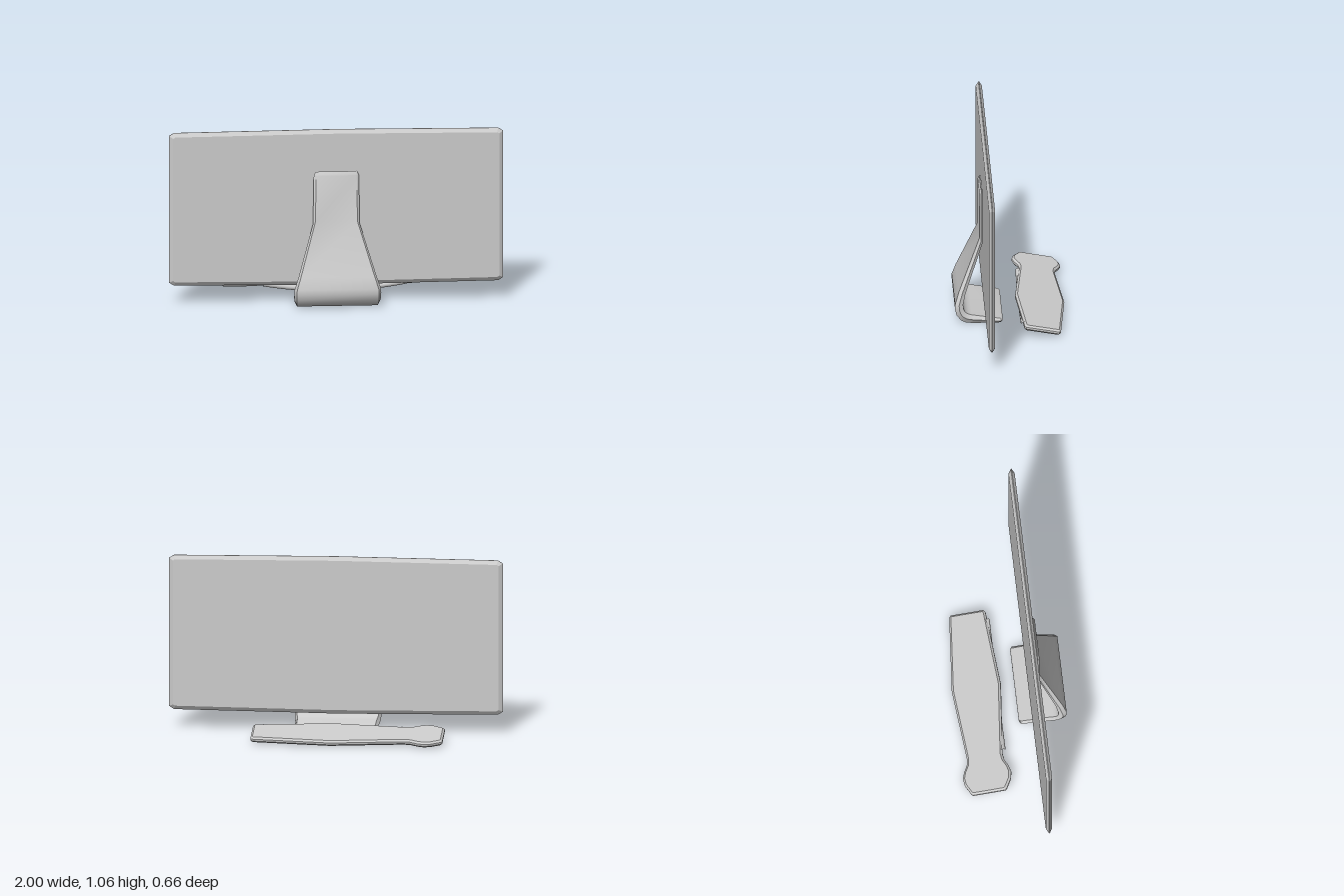
import * as THREE from 'three';
import { toCreasedNormals } from 'three/addons/utils/BufferGeometryUtils.js';

const material = new THREE.MeshStandardMaterial({ color: 0xcccccc });

function part(name, geometry) {
  const mesh = new THREE.Mesh(geometry, material);
  mesh.name = name;
  return mesh;
}

// Flat plate centred on z = 0 whose rim comes to a bevelled edge
function plate(points, thickness, bevel, rim) {
  const shape = new THREE.Shape(points.map(([x, y]) => new THREE.Vector2(x, y)));
  const geometry = new THREE.ExtrudeGeometry(shape, {
    depth: rim, bevelEnabled: true, bevelSegments: 1,
    bevelThickness: (thickness - rim) / 2, bevelSize: bevel, bevelOffset: -bevel,
  });
  return geometry.translate(0, 0, -rim / 2);
}

// Bent ribbon lofted from hexagonal sections: outer z, y, inner z, y, half width
function ribbon(sections) {
  const inset = 0.014;
  const positions = [];
  const index = [];
  for (const [oz, oy, iz, iy, w] of sections) {
    const mz = (oz + iz) / 2, my = (oy + iy) / 2;
    positions.push(
      -w + inset, oy, oz, w - inset, oy, oz, w, my, mz,
      w - inset, iy, iz, -w + inset, iy, iz, -w, my, mz);
  }
  for (let s = 0; s < sections.length - 1; s++) {
    for (let k = 0; k < 6; k++) {
      const a = s * 6 + k, b = s * 6 + (k + 1) % 6;
      index.push(a, a + 6, b, b, a + 6, b + 6);
    }
  }
  const last = (sections.length - 1) * 6;
  for (let k = 1; k < 5; k++) {
    index.push(0, k, k + 1);
    index.push(last, last + k + 1, last + k);
  }
  const geometry = new THREE.BufferGeometry();
  geometry.setAttribute('position', new THREE.Float32BufferAttribute(positions, 3));
  geometry.setIndex(index);
  return toCreasedNormals(geometry, 0.6);
}

export function createModel() {
  const model = new THREE.Group();
  model.name = 'desktopComputer';

  // Screen: thin panel with clipped corners and slightly bowed long edges
  const screen = part('screen', plate([
    [-1, 0.135], [-0.97, 0.116], [0, 0.106], [0.97, 0.116], [1, 0.135],
    [1, 1.04], [0.97, 1.058], [0, 1.066], [-0.97, 1.058], [-1, 1.04],
  ], 0.037, 0.024, 0.004));
  screen.position.z = 0.137;
  model.add(screen);

  // Stand: narrow mount that flares downward and curls under into the foot
  model.add(part('stand', ribbon([
    [0.168, 0.812, 0.160, 0.808, 0.125],
    [0.178, 0.79, 0.158, 0.79, 0.135],
    [0.178, 0.504, 0.158, 0.475, 0.14],
    [0.305, 0.194, 0.266, 0.18, 0.235],
    [0.328, 0.123, 0.280, 0.123, 0.258],
    [0.328, 0.092, 0.277, 0.095, 0.26],
    [0.319, 0.058, 0.271, 0.083, 0.26],
    [0.294, 0.024, 0.263, 0.072, 0.258],
    [0.263, 0.007, 0.247, 0.062, 0.255],
    [0.215, 0.002, 0.229, 0.055, 0.252],
    [0.055, 0.002, 0.052, 0.027, 0.247],
    [0.042, 0.010, 0.042, 0.020, 0.232],
  ])));

  // Keyboard: tilted plate, widest at the middle, with a rounded lobe at one end
  const keyboard = new THREE.Group();
  keyboard.name = 'keyboard';
  const edge = [
    [-0.672, 0.10], [-0.66, 0.11], [-0.605, 0.14], [-0.56, 0.147], [-0.52, 0.135],
    [-0.48, 0.114], [-0.44, 0.108], [0, 0.149], [0.465, 0.11], [0.478, 0.10],
  ];
  const outline = [...edge.map(([x, y]) => [x, -y]), ...edge.slice().reverse()];
  const board = part('keyboardPlate', plate(outline, 0.034, 0.012, 0.012).rotateX(-Math.PI / 2));
  board.rotation.x = -0.175;
  board.position.set(0, 0.046, -0.187);
  keyboard.add(board);

  // Bowed round bar propping up the raised edge
  const bow = new THREE.QuadraticBezierCurve3(
    new THREE.Vector3(-0.42, 0.062, -0.076),
    new THREE.Vector3(0, -0.014, -0.076),
    new THREE.Vector3(0.42, 0.062, -0.076));
  keyboard.add(part('keyboardFoot', new THREE.TubeGeometry(bow, 24, 0.017, 12)));
  model.add(keyboard);

  return model;
}
